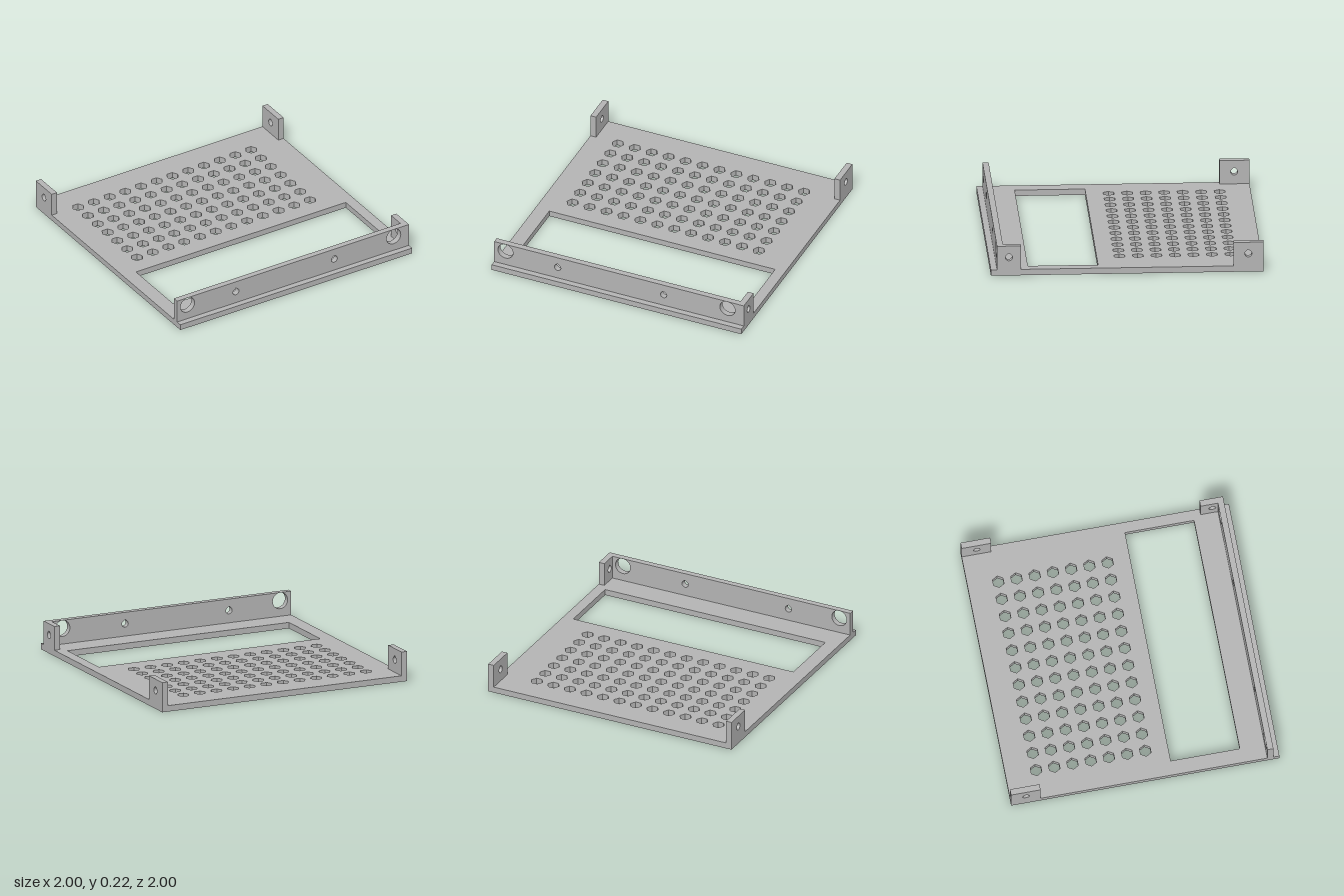
import * as THREE from 'three';

const T = 0.045;   // sheet thickness
const TOP = 0.225; // height of walls and tabs

const rect = (x0, y0, x1, y1) => [[x0, y0], [x1, y0], [x1, y1], [x0, y1]].map(p => new THREE.Vector2(...p));

const ngon = (cx, cy, r, n) => Array.from({ length: n }, (_, i) => {
  const a = (i / n) * Math.PI * 2;
  return new THREE.Vector2(cx + r * Math.cos(a), cy + r * Math.sin(a));
});

// Round screw hole with a slightly pointed top
function teardrop(cx, cy, r = 0.026) {
  const pts = [new THREE.Vector2(cx, cy + r * 1.28)];
  for (let i = 0; i <= 12; i++) {
    const a = Math.PI * (0.75 + (1.5 * i) / 12);
    pts.push(new THREE.Vector2(cx + r * Math.cos(a), cy + r * Math.sin(a)));
  }
  return pts;
}

function sheet(outline, holes, depth = T) {
  const shape = new THREE.Shape(outline);
  shape.holes = holes.map(h => new THREE.Path(h));
  return new THREE.ExtrudeGeometry(shape, { depth, bevelEnabled: false });
}

export function createModel() {
  const group = new THREE.Group();
  const grey = new THREE.MeshStandardMaterial({ color: 0xb3b3b3, flatShading: true });
  grey.name = 'plain grey';
  const add = (name, geometry) => {
    const mesh = new THREE.Mesh(geometry, grey);
    mesh.name = name;
    group.add(mesh);
    return mesh;
  };

  // Base plate with a wide opening and a grid of hexagonal vents (shape y = -z)
  const holes = [rect(-0.89, -0.725, 0.92, -0.21)];
  for (let row = 0; row < 7; row++) {
    for (let col = 0; col < 12; col++) {
      holes.push(ngon(-0.777 + col * 0.1357, 0.772 - row * 0.1357, 0.045, 6));
    }
  }
  add('basePlate', sheet(rect(-1, -1, 1, 1), holes).rotateX(-Math.PI / 2));

  // Front wall with two large cable holes and two screw holes
  add('frontWall', sheet(rect(-1, T, 1, TOP), [
    ngon(-0.91, 0.163, 0.061, 32), ngon(0.869, 0.163, 0.061, 32),
    teardrop(-0.492, 0.138), teardrop(0.357, 0.138),
  ])).position.z = 0.91;

  // Side tabs, drawn in z and y and extruded towards -x from their outer face
  const tab = (name, x, z0, z1, holeZ) => {
    const geometry = sheet(rect(z0, T, z1, TOP), [teardrop(holeZ, 0.138)]);
    add(name, geometry.rotateY(-Math.PI / 2)).position.x = x;
  };
  tab('backLeftTab', 1, -1, -0.78, -0.888);
  tab('backRightTab', -1 + T, -1, -0.78, -0.888);
  tab('frontLeftTab', 1, 0.78, 0.91, 0.868);

  return group;
}
